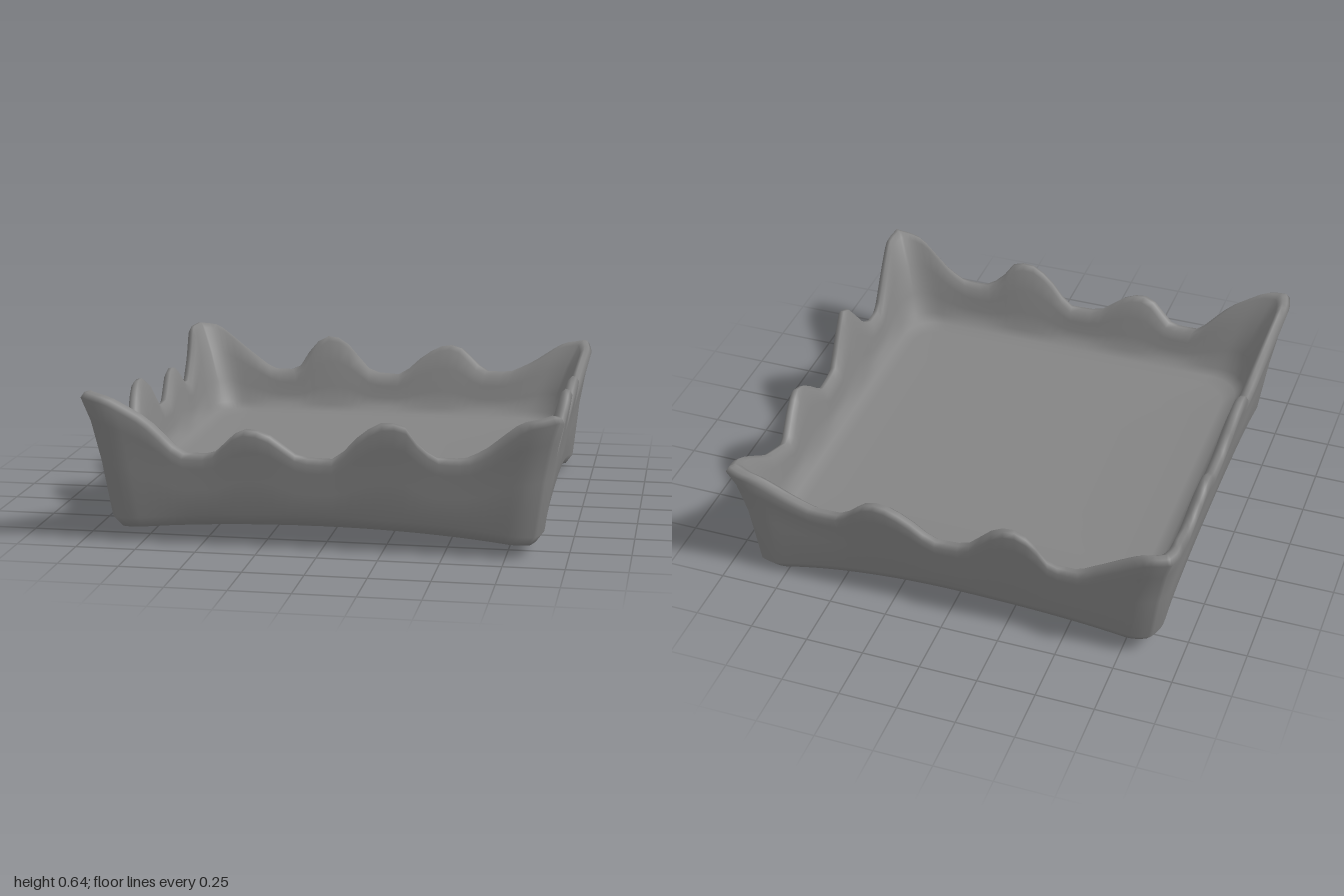
import * as THREE from 'three';

// Rim height along each wall: [position, height], position ascending in x or z
const WALLS = {
  front: [[-0.95, 0.64], [-0.85, 0.62], [-0.72, 0.53], [-0.6, 0.385], [-0.46, 0.385], [-0.33, 0.5], [-0.23, 0.49], [-0.09, 0.385],
    [0.07, 0.38], [0.17, 0.49], [0.25, 0.545], [0.35, 0.545], [0.41, 0.46], [0.49, 0.405], [0.62, 0.405], [0.7, 0.45], [0.82, 0.57], [0.95, 0.6]],
  back: [[-0.95, 0.6], [-0.85, 0.59], [-0.72, 0.48], [-0.6, 0.39], [-0.46, 0.39], [-0.38, 0.51], [-0.31, 0.555], [-0.23, 0.54], [-0.09, 0.39],
    [0.07, 0.38], [0.18, 0.48], [0.28, 0.53], [0.35, 0.52], [0.48, 0.41], [0.62, 0.41], [0.72, 0.46], [0.84, 0.55], [0.95, 0.57]],
  right: [[-0.95, 0.57], [-0.85, 0.54], [-0.7, 0.43], [-0.52, 0.375], [-0.38, 0.48], [-0.3, 0.525], [-0.23, 0.49], [-0.11, 0.385],
    [0.05, 0.395], [0.17, 0.5], [0.27, 0.585], [0.33, 0.53], [0.4, 0.44], [0.48, 0.385], [0.6, 0.385], [0.75, 0.51], [0.85, 0.58], [0.95, 0.6]],
  left: [[-0.95, 0.6], [-0.83, 0.59], [-0.7, 0.49], [-0.54, 0.39], [-0.46, 0.4], [-0.36, 0.49], [-0.28, 0.5], [-0.11, 0.385],
    [0.05, 0.385], [0.17, 0.54], [0.25, 0.55], [0.33, 0.5], [0.46, 0.385], [0.6, 0.385], [0.75, 0.5], [0.86, 0.62], [0.95, 0.64]],
};
const STEPS = 48; // stations per wall
const FLOOR = 0.183;

const lerp = THREE.MathUtils.lerp;

function heightAt(points, t) {
  for (let i = 1; i < points.length; i++) {
    const [a, ha] = points[i - 1], [b, hb] = points[i];
    if (t <= b) return lerp(ha, hb, Math.max(0, (t - a) / (b - a)));
  }
  return points[points.length - 1][1];
}

// Rim height averaged over a small span, to soften the kinks
function rimHeight(wall, t) {
  const at = (d) => heightAt(WALLS[wall], t * 0.95 + d);
  return (at(-0.02) + 2 * at(0) + at(0.02)) / 4;
}

// Point of a rounded square of half size s and corner radius r
function roundedSquare(u, v, s, r) {
  const core = s - r;
  const x = THREE.MathUtils.clamp(u * s, -core, core);
  const z = THREE.MathUtils.clamp(v * s, -core, core);
  const dx = u * s - x, dz = v * s - z, d = Math.hypot(dx, dz) || 1;
  return [x + (dx / d) * r, z + (dz / d) * r];
}

// Underside sags towards the four corners
function underside(x, z) {
  const sag = z > 0 ? (x < 0 ? 0.036 : 0.042) : (x < 0 ? 0.036 : 0.085);
  return 0.078 - sag * (x * z) ** 2 / 0.45;
}

// Perimeter stations, counter-clockwise from above, denser near the corners
function perimeter() {
  const stations = [];
  const add = (wall, place) => {
    for (let i = 0; i < STEPS; i++) {
      const k = (2 * i) / STEPS - 1;
      const t = lerp(k, Math.sin((k * Math.PI) / 2), 0.55);
      const [u, v, along] = place(t);
      stations.push({ u, v, h: rimHeight(wall, along), corner: t ** 6 });
    }
  };
  add('front', (t) => [t, 1, t]);
  add('right', (t) => [1, -t, -t]);
  add('back', (t) => [-t, -1, -t]);
  add('left', (t) => [-1, t, t]);
  return stations;
}

// Wall section from the underside, over the rim, to the floor: [half size, radius, height].
// A height given as { lift } is measured from the sagging underside.
function section(h, corner) {
  const rim = Math.min(1, 0.925 + 0.2 * (h - 0.38) + 0.026 * corner);
  const foot = 0.892 + 0.016 * corner;
  const dome = { lift: 0.02 };
  return [
    [0.02, 0.01, dome], [0.3, 0.05, dome], [0.55, 0.08, dome], [0.72, 0.1, { lift: 0.016 }],
    [0.82, 0.11, { lift: 0.004 }], [foot - 0.03, 0.12, { lift: 0.012 }], [foot, 0.13, { lift: 0.06 }],
    [lerp(foot + 0.008, rim, 0.3), 0.13, lerp(0.13, h, 0.4)],
    [lerp(foot + 0.008, rim, 0.7), 0.13, lerp(0.13, h, 0.75)],
    [rim, 0.11, h - 0.025], [rim - 0.012, 0.11, h - 0.004], [rim - 0.03, 0.11, h],
    [rim - 0.05, 0.11, h - 0.02],
    [lerp(0.855, rim - 0.06, 0.6), 0.13, lerp(0.22, h, 0.65)],
    [0.86, 0.14, lerp(0.22, h, 0.3)], [0.84, 0.14, FLOOR + 0.05], [0.81, 0.14, FLOOR + 0.02],
    [0.76, 0.13, FLOOR + 0.005], [0.55, 0.1, FLOOR], [0.3, 0.05, FLOOR], [0.02, 0.01, FLOOR],
  ];
}

function trayGeometry() {
  const stations = perimeter(), n = stations.length;
  const rows = section(0.4, 0).length;
  const positions = [], index = [];
  for (let j = 0; j < rows; j++) {
    for (const { u, v, h, corner } of stations) {
      const [s, r, height] = section(h, corner)[j];
      const [x, z] = roundedSquare(u, v, s, r);
      const y = typeof height === 'number' ? height : underside(x, z) + height.lift;
      positions.push(x, y, z);
    }
  }
  for (let j = 0; j < rows - 1; j++) {
    for (let i = 0; i < n; i++) {
      const a = j * n + i, b = j * n + ((i + 1) % n);
      index.push(a, b, b + n, a, b + n, a + n);
    }
  }
  // Close the middle of the underside and of the floor
  const last = (rows - 1) * n, centre = rows * n;
  positions.push(0, underside(0, 0) + 0.02, 0, 0, FLOOR, 0);
  for (let i = 0; i < n; i++) {
    const k = (i + 1) % n;
    index.push(centre, k, i, centre + 1, last + i, last + k);
  }
  const geometry = new THREE.BufferGeometry();
  geometry.setAttribute('position', new THREE.Float32BufferAttribute(positions, 3));
  geometry.setIndex(index);
  geometry.computeVertexNormals();
  return geometry;
}

export function createModel() {
  const group = new THREE.Group();
  group.name = 'wavyTray';
  const tray = new THREE.Mesh(trayGeometry(), new THREE.MeshStandardMaterial({ color: 0x848484 }));
  tray.name = 'trayBody';
  group.add(tray);
  return group;
}
